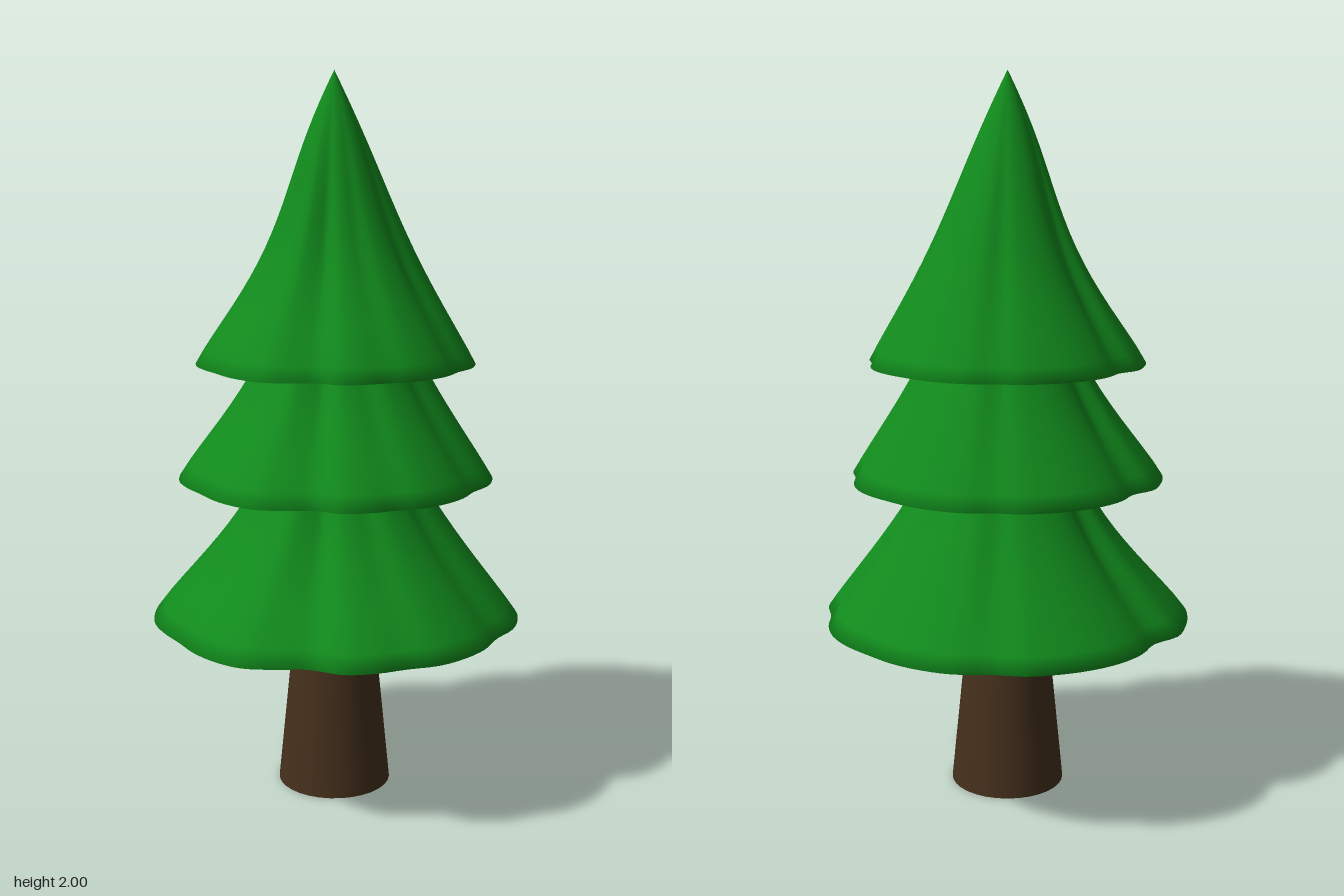
import * as THREE from 'three';

// Wavy rim radius every 10 degrees, from +x towards +z
const RIM = [
  0.507, 0.511, 0.51, 0.495, 0.5, 0.497, 0.465, 0.484, 0.51, 0.51, 0.502, 0.492,
  0.5, 0.51, 0.51, 0.51, 0.51, 0.48, 0.5, 0.512, 0.517, 0.518, 0.517, 0.503,
  0.518, 0.52, 0.518, 0.513, 0.518, 0.52, 0.512, 0.5, 0.517, 0.52, 0.515, 0.496,
];
const RIM_MAX = 0.52;
const COLUMNS = 108;

// Smoothly interpolated rim, sampled once for all tiers
const rimCurve = new THREE.CatmullRomCurve3(
  RIM.map((r, i) => {
    const a = (i / RIM.length) * Math.PI * 2;
    return new THREE.Vector3(Math.cos(a) * r, 0, Math.sin(a) * r);
  }),
  true,
);

// Folded skirt: rows run from the tip down to the rim, then inwards under it
function tierGeometry(radius, baseY, height) {
  const slopeRows = 20;
  const rows = [];
  for (let i = 0; i <= slopeRows; i++) rows.push({ t: i / slopeRows, scale: 1 });
  rows.push({ t: 1, scale: 0.93 }, { t: 1, scale: 0 });

  const positions = [];
  const index = [];
  rows.forEach(({ t, scale }, i) => {
    const mid = Math.pow(Math.max(0, Math.sin(Math.PI * t)), 1.5);
    for (let j = 0; j < COLUMNS; j++) {
      const p = rimCurve.getPoint(j / COLUMNS);
      const a = Math.atan2(p.z, p.x);
      // Folds are deepest halfway up; the front sags in more than the back
      const fold = (1 - Math.hypot(p.x, p.z) / RIM_MAX) * (t + 0.9 * mid);
      const sag = mid * (0.13 + 0.08 * Math.sin(a));
      const r = radius * t * scale * (1 - fold - sag);
      positions.push(Math.cos(a) * r, baseY + height * (1 - t), Math.sin(a) * r);
      if (i === rows.length - 1) continue;
      const k = (j + 1) % COLUMNS;
      const a0 = i * COLUMNS + j, b0 = i * COLUMNS + k;
      const a1 = a0 + COLUMNS, b1 = b0 + COLUMNS;
      if (i > 0) index.push(a0, b0, a1);
      if (i < rows.length - 2) index.push(b0, b1, a1);
      else index.push(b0, b1, a1);
    }
  });

  const geometry = new THREE.BufferGeometry();
  geometry.setAttribute('position', new THREE.Float32BufferAttribute(positions, 3));
  geometry.setIndex(index);
  geometry.computeVertexNormals();
  return geometry;
}

export function createModel() {
  const tree = new THREE.Group();
  tree.name = 'pineTree';
  const green = new THREE.MeshStandardMaterial({ color: 0x118a1c });
  const brown = new THREE.MeshStandardMaterial({ color: 0x45301c });

  // Tapered trunk, reaching a little into the lowest tier
  const trunk = new THREE.Mesh(new THREE.CylinderGeometry(0.1, 0.16, 0.6, 32), brown);
  trunk.name = 'trunk';
  trunk.position.y = 0.3;
  tree.add(trunk);

  // Three nested tiers of foliage
  const tiers = [
    { name: 'lowerFoliage', radius: 0.52, y: 0.5, height: 0.8 },
    { name: 'middleFoliage', radius: 0.44, y: 0.9, height: 0.8 },
    { name: 'upperFoliage', radius: 0.387, y: 1.22, height: 0.78 },
  ];
  for (const { name, radius, y, height } of tiers) {
    const tier = new THREE.Mesh(tierGeometry(radius, y, height), green);
    tier.name = name;
    tree.add(tier);
  }
  return tree;
}
